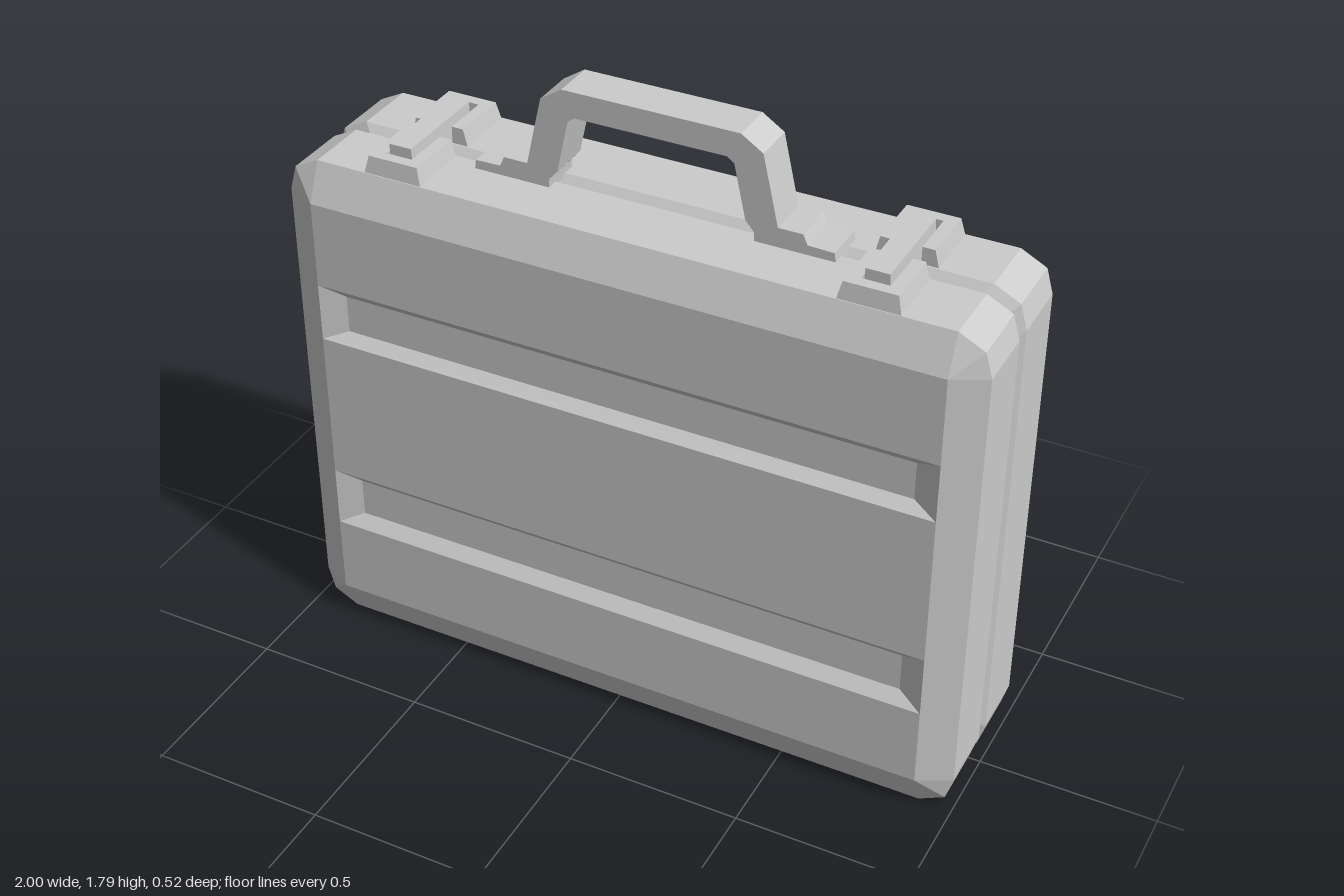
import * as THREE from 'three';

const material = new THREE.MeshStandardMaterial({ color: 0xcccccc, flatShading: true });
const CX = 0.0135;            // middle of the case body
const HX = 0.983, TOP = 1.497; // half width and height of the body
const FACE_Z = 0.258, FLOOR_Z = 0.23;

function mesh(geometry, name) {
  const m = new THREE.Mesh(geometry, material);
  m.name = name;
  return m;
}

// Box between two limits whose top is pulled in by separate amounts per side
function taperedBox([x0, x1], [y0, y1], [z0, z1], { l = 0, r = 0, b = 0, f = 0 } = {}) {
  const g = new THREE.BoxGeometry(x1 - x0, y1 - y0, z1 - z0);
  g.translate((x0 + x1) / 2, (y0 + y1) / 2, (z0 + z1) / 2);
  const p = g.attributes.position;
  const midX = (x0 + x1) / 2, midY = (y0 + y1) / 2, midZ = (z0 + z1) / 2;
  for (let i = 0; i < p.count; i++) {
    if (p.getY(i) < midY) continue;
    p.setX(i, p.getX(i) + (p.getX(i) < midX ? l : -r));
    p.setZ(i, p.getZ(i) + (p.getZ(i) < midZ ? b : -f));
  }
  g.computeVertexNormals();
  return g;
}

// Outline with two-step chamfered corners, counter-clockwise, around the body centre
function outline(z, inset) {
  const hx = HX - inset, hy = TOP / 2 - inset;
  const corner = [[0, 0.107], [0.02, 0.037], [0.092, 0]];
  const points = [];
  for (const [sx, sy] of [[1, 1], [-1, 1], [-1, -1], [1, -1]]) {
    const list = sx * sy > 0 ? corner : [...corner].reverse();
    for (const [dx, dy] of list) points.push([sx * (hx - dx), TOP / 2 + sy * (hy - dy), z]);
  }
  return points;
}

// One half of the case, facing +z, with two recessed bands in its face
function shellGeometry() {
  const positions = [];
  const tri = (a, b, c) => positions.push(...a, ...b, ...c);
  const quad = (a, b, c, d) => { tri(a, b, c); tri(a, c, d); };
  const rect = (x, y0, y1, z) => [[-x, y0, z], [x, y0, z], [x, y1, z], [-x, y1, z]];
  const fx = HX - 0.092, fy0 = 0.107, fy1 = TOP - 0.107;

  // Seam groove, straight wall
  const rings = [outline(0, 0.03), outline(0.025, 0), outline(0.21, 0)];
  for (let k = 0; k < rings.length - 1; k++) {
    const a = rings[k], b = rings[k + 1];
    for (let i = 0; i < a.length; i++) {
      const j = (i + 1) % a.length;
      quad(a[i], a[j], b[j], b[i]);
    }
  }

  // Bevel, each corner fanning into one face corner
  const rim = rings[2];
  const faceCorners = [[fx, fy1], [-fx, fy1], [-fx, fy0], [fx, fy0]].map(([x, y]) => [x, y, FACE_Z]);
  for (let c = 0; c < 4; c++) {
    const f = faceCorners[c], next = faceCorners[(c + 1) % 4];
    const [p, q, r] = rim.slice(c * 3, c * 3 + 3);
    tri(p, q, f);
    tri(q, r, f);
    quad(r, rim[(c * 3 + 3) % 12], next, f);
  }

  // Face strips and recessed bands: outer bottom, inner bottom, inner top, outer top
  let y = fy0;
  for (const [ob, ib, it, ot] of [[0.342, 0.378, 0.492, 0.524], [0.968, 0.997, 1.107, 1.139]]) {
    quad(...rect(fx, y, ob, FACE_Z));
    const outer = rect(fx, ob, ot, FACE_Z), inner = rect(fx - 0.07, ib, it, FLOOR_Z);
    for (let i = 0; i < 4; i++) {
      const j = (i + 1) % 4;
      quad(outer[i], outer[j], inner[j], inner[i]);
    }
    quad(...inner);
    y = ot;
  }
  quad(...rect(fx, y, fy1, FACE_Z));

  const g = new THREE.BufferGeometry();
  g.setAttribute('position', new THREE.Float32BufferAttribute(positions, 3));
  g.computeVertexNormals();
  return g;
}

// Latch: a slotted base on each half, bridged by a clasp bar
function createLatch(x) {
  const latch = new THREE.Group();
  latch.name = 'latch';
  const ys = [1.48, 1.545];
  for (const turn of [0, Math.PI]) {
    const base = new THREE.Group();
    base.name = 'latchBase';
    base.add(
      mesh(taperedBox([-0.088, -0.038], ys, [0.03, 0.21], { l: 0.016, f: 0.01 }), 'latchRail'),
      mesh(taperedBox([0.038, 0.088], ys, [0.03, 0.21], { r: 0.016, f: 0.01 }), 'latchRail'),
      mesh(taperedBox([-0.038, 0.038], ys, [0.168, 0.21], { f: 0.01 }), 'latchEnd'),
    );
    base.rotation.y = turn;
    latch.add(base);
  }
  latch.add(mesh(taperedBox([-0.036, 0.036], [1.49, 1.57], [-0.13, 0.16], { l: 0.004, r: 0.004 }), 'claspBar'));
  latch.position.x = x;
  return latch;
}

// Handle with stepped feet, drawn as half a profile and mirrored
function createHandle() {
  const outer = [[0.51, 1.485], [0.505, 1.522], [0.433, 1.524], [0.42, 1.552], [0.352, 1.552], [0.308, 1.747], [0.247, 1.787]];
  const inner = [[0.211, 1.715], [0.231, 1.7], [0.264, 1.55], [0.288, 1.522], [0.29, 1.485]];
  const flip = (list) => list.map(([x, y]) => [-x, y]).reverse();
  const profile = [...outer, ...flip(outer), ...flip(inner), ...inner];
  const shape = new THREE.Shape(profile.map(([x, y]) => new THREE.Vector2(x, y)));
  const g = new THREE.ExtrudeGeometry(shape, { depth: 0.122, bevelEnabled: false });
  g.translate(0.018, 0, -0.063);
  return mesh(g, 'handle');
}

export function createModel() {
  const model = new THREE.Group();
  model.name = 'briefcase';

  const shell = shellGeometry();
  ['frontShell', 'backShell'].forEach((name, i) => {
    const half = mesh(shell, name);
    half.position.x = CX;
    half.rotation.y = i * Math.PI;
    model.add(half);
  });

  model.add(createHandle(), createLatch(-0.65), createLatch(0.676));

  // Hinge plates on the right side, one per half
  for (const side of [-1, 1]) {
    const inset = { l: 0.008, r: 0.008, b: 0.008, f: 0.008 };
    const plate = mesh(taperedBox([-0.107, 0.107], [0, 0.045], [-0.056, 0.056], inset), 'hingePlate');
    plate.rotation.z = Math.PI / 2;
    plate.position.set(-0.955, 0.897, side * 0.085);
    model.add(plate);
  }
  return model;
}
